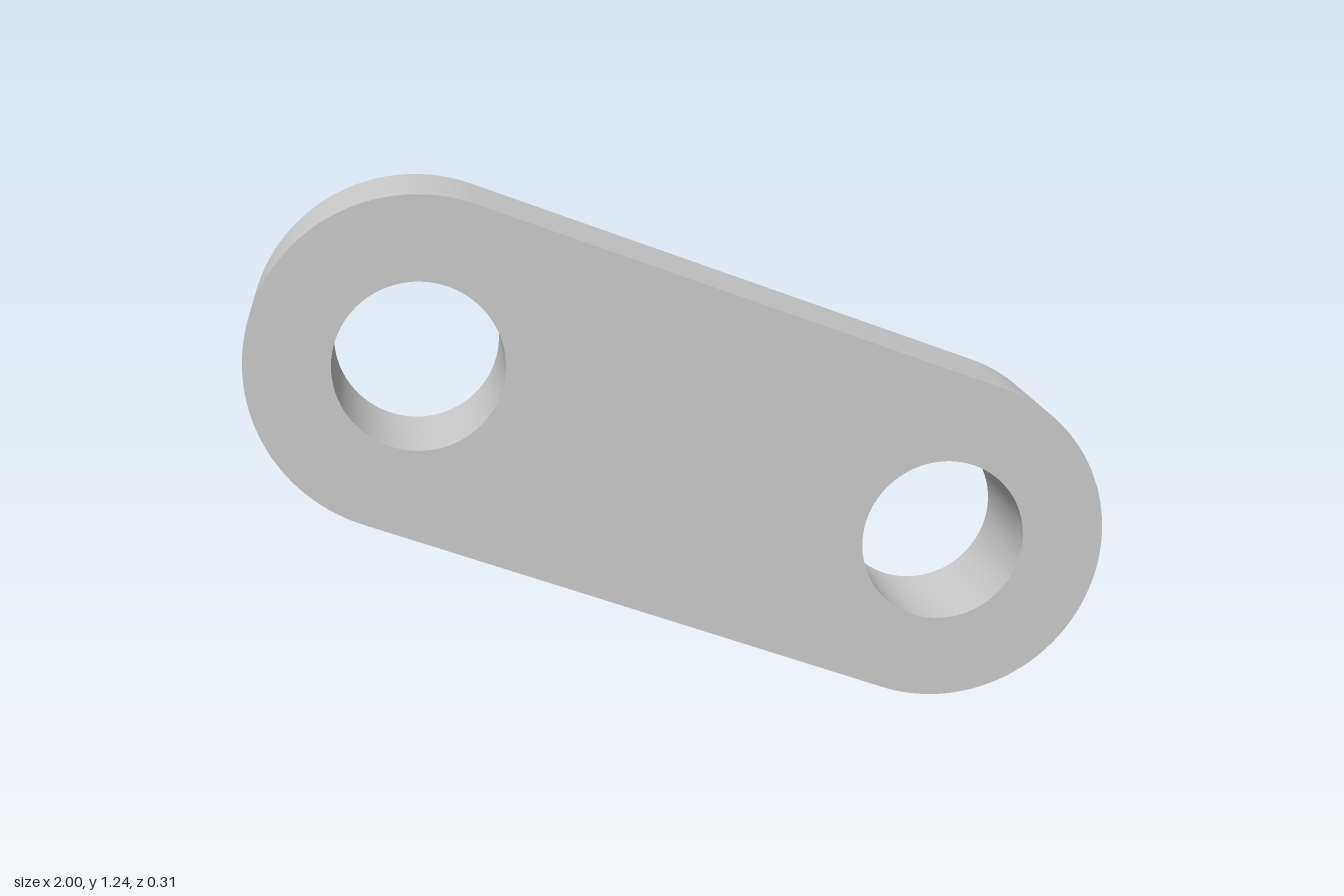
import * as THREE from 'three';
import { toCreasedNormals } from 'three/addons/utils/BufferGeometryUtils.js';

export function createModel() {
  const outerRadius = 0.39, holeRadius = 0.195, thickness = 0.31;
  const dx = 0.61, dy = 0.23; // half offset between the two eye centres
  const half = Math.hypot(dx, dy);

  // Stadium outline along local x, with a round hole at each end
  const outline = new THREE.Shape();
  outline.absarc(half, 0, outerRadius, -Math.PI / 2, Math.PI / 2, false);
  outline.absarc(-half, 0, outerRadius, Math.PI / 2, Math.PI * 1.5, false);
  outline.closePath();
  for (const side of [-1, 1]) {
    const hole = new THREE.Path();
    hole.absarc(side * half, 0, holeRadius, 0, Math.PI * 2, true);
    outline.holes.push(hole);
  }

  // Flat plate with sharp rims and smooth rounded walls
  let geometry = new THREE.ExtrudeGeometry(outline, {
    depth: thickness, bevelEnabled: false, curveSegments: 40,
  });
  geometry.translate(0, 0, -thickness / 2);
  geometry = toCreasedNormals(geometry, Math.PI / 6);

  const link = new THREE.Mesh(geometry, new THREE.MeshStandardMaterial({ color: 0xcccccc }));
  link.name = 'linkPlate';
  link.rotation.z = -Math.atan2(dy, dx); // slopes down towards +x
  link.position.y = outerRadius + dy;

  const group = new THREE.Group();
  group.name = 'linkArm';
  group.add(link);
  return group;
}
